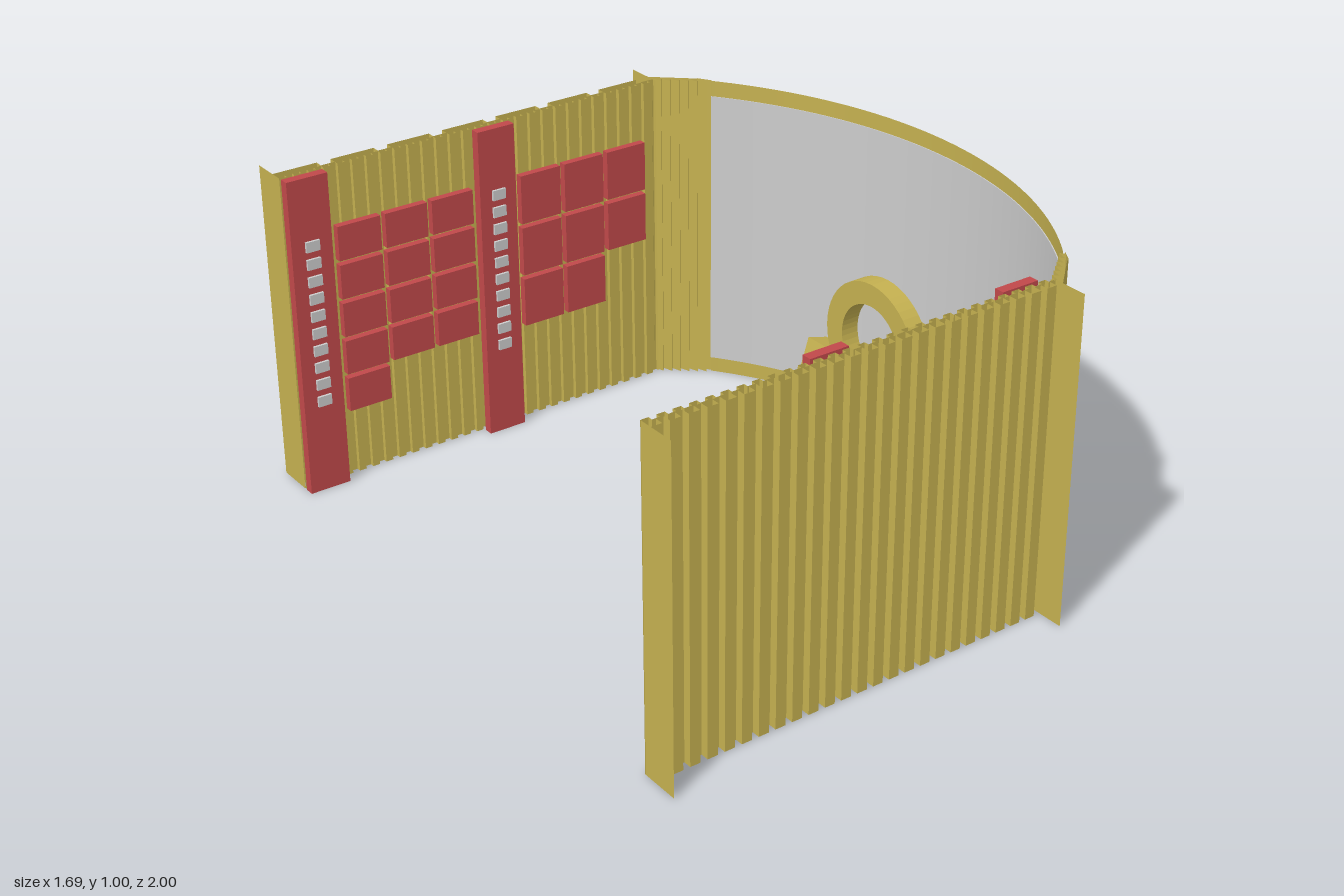
import * as THREE from 'three';

const mat = (color, extra = {}) => new THREE.MeshStandardMaterial({ color, ...extra });
const gold = mat(0xc4b050, { side: THREE.DoubleSide });
const red = mat(0xc0484a);
const grey = mat(0xcccccc);

function add(parent, name, geometry, material) {
  const mesh = new THREE.Mesh(geometry, material);
  mesh.name = name;
  parent.add(mesh);
  return mesh;
}

function addBox(parent, name, x0, x1, y0, y1, z0, z1, material) {
  const mesh = add(parent, name, new THREE.BoxGeometry(x1 - x0, y1 - y0, Math.abs(z1 - z0)), material);
  mesh.position.set((x0 + x1) / 2, (y0 + y1) / 2, (z0 + z1) / 2);
  return mesh;
}

// Upright thin sheet following a path of [x, z] points
function sheet(path, y0 = 0, y1 = 1) {
  const pos = [];
  for (let i = 0; i < path.length - 1; i++) {
    const [ax, az] = path[i], [bx, bz] = path[i + 1];
    pos.push(ax, y0, az, bx, y0, bz, bx, y1, bz, ax, y0, az, bx, y1, bz, ax, y1, az);
  }
  const g = new THREE.BufferGeometry();
  g.setAttribute('position', new THREE.Float32BufferAttribute(pos, 3));
  g.computeVertexNormals();
  return g;
}

// Square-wave path between x0 and x1: raised share of each pitch at zOut, rest at zIn
function corrugation(x0, x1, count, share, zOut, zIn) {
  const path = [], pitch = (x1 - x0) / count;
  for (let i = 0; i < count; i++) {
    const a = x0 + i * pitch, b = a + pitch * share;
    path.push([a, zOut], [b, zOut], [b, zIn], [a + pitch, zIn]);
  }
  return path;
}

const CX = -0.46, HALF = Math.asin(0.78 / 1.3);

// Closed curved slab with its centre line bulging to +x
function curvedSlab(rIn, rOut, height) {
  const s = new THREE.Shape();
  s.absarc(0, 0, rOut, -HALF, HALF, false);
  s.absarc(0, 0, rIn, HALF, -HALF, true);
  const g = new THREE.ExtrudeGeometry(s, { depth: height, bevelEnabled: false, curveSegments: 48 });
  return g.rotateX(-Math.PI / 2);
}

// Open curved band
function curvedBand(r, y0, y1) {
  const g = new THREE.CylinderGeometry(r, r, y1 - y0, 48, 1, true, Math.PI / 2 - HALF, 2 * HALF);
  return g.translate(CX, (y0 + y1) / 2, 0);
}

// Side wall with end fins, corner and lining; s is the sign of z
function sideWall(s) {
  const wall = new THREE.Group();
  wall.name = s > 0 ? 'frontWall' : 'backWall';
  const outer = s > 0
    ? corrugation(-0.85, 0.44, 24, 0.6, 0.92, 0.895)
    : corrugation(-0.85, 0.44, 7, 0.76, 0.92, 0.895);
  const mirror = path => path.map(([x, z]) => [x, z * s]);
  add(wall, 'outerCladding', sheet(mirror(outer)), gold);
  add(wall, 'innerLining', sheet(mirror(corrugation(-0.85, 0.44, 28, 0.5, 0.878, 0.892))), gold);
  for (const x of [-0.85, 0.44]) add(wall, 'endFin', sheet(mirror([[x, 0.88], [x, 1]])), gold);
  add(wall, 'cornerPanel', sheet(mirror([[0.44, 0.92], [0.54, 0.83], [0.555, 0.82], [0.58, 0.78]])), gold);
  // Ribbed lining across the corner
  const ribs = [];
  for (let i = 0; i <= 6; i++) {
    const t = i / 6, x = 0.43 + 0.13 * t, z = 0.885 - 0.105 * t;
    ribs.push([x, z], [x + 0.012, z + 0.015]);
  }
  add(wall, 'cornerLining', sheet(mirror(ribs)), gold);
  return wall;
}

// Full-height red pillar with a row of plain studs on its inner face
function pillar(parent, x0, x1, s) {
  const g = new THREE.Group();
  g.name = 'pillar';
  addBox(g, 'pillarBody', x0, x1, 0, 1, s * 0.87, s * 0.84, red);
  const c = (x0 + x1) / 2;
  for (let i = 0; i < 10; i++) {
    const y = 0.28 + i * 0.055;
    addBox(g, 'stud', c - 0.022, c + 0.022, y, y + 0.032, s * 0.84, s * 0.832, grey);
  }
  parent.add(g);
}

// Grid of display panels hanging down from y = 0.82; lastCount panels in the last row
function panelGrid(parent, x0, s, rows, pitch, lastCount, faced) {
  const g = new THREE.Group();
  g.name = 'panelGrid';
  for (let r = 0; r < rows; r++) {
    for (let c = 0; c < 3; c++) {
      const fromStart = s > 0 ? 2 - c : c;
      if (r === rows - 1 && fromStart >= lastCount) continue;
      const x = x0 + c * 0.156, top = 0.82 - r * pitch, bottom = top - pitch + 0.014;
      addBox(g, 'panel', x, x + 0.14, bottom, top, s * 0.875, s * 0.852, red);
      if (faced) addBox(g, 'panelFace', x + 0.003, x + 0.137, bottom + 0.003, top - 0.003, s * 0.853, s * 0.85, grey);
    }
  }
  parent.add(g);
}

export function createModel() {
  const model = new THREE.Group();
  model.name = 'exhibitionBooth';

  // Walls
  model.add(sideWall(1), sideWall(-1));

  // Curved screen and its frame
  const screen = add(model, 'curvedScreen', curvedSlab(1.292, 1.302, 0.9), grey);
  screen.position.set(CX, 0.05, 0);
  add(model, 'screenFrameBottom', curvedBand(1.295, 0, 0.05), gold);
  add(model, 'screenFrameTop', curvedBand(1.295, 0.95, 1), gold);

  // Back wall display
  pillar(model, -0.85, -0.72, -1);
  panelGrid(model, -0.695, -1, 5, 0.122, 1, false);
  pillar(model, -0.225, -0.1, -1);
  panelGrid(model, -0.075, -1, 3, 0.17, 2, false);

  // Front wall display
  panelGrid(model, -0.82, 1, 3, 0.17, 2, true);
  pillar(model, -0.345, -0.225, 1);
  panelGrid(model, -0.2, 1, 3, 0.17, 3, true);
  pillar(model, 0.28, 0.4, 1);

  // Console with sloping front and underside
  const profile = new THREE.Shape([[0.46, 0.06], [0.6, 0.17], [0.6, 0.34], [0.53, 0.36], [0.46, 0.14]]
    .map(([x, y]) => new THREE.Vector2(x, y)));
  const console_ = add(model, 'console',
    new THREE.ExtrudeGeometry(profile, { depth: 0.51, bevelEnabled: false }), gold);
  console_.position.z = -0.22;

  // Round ornament standing on the console
  const ring = new THREE.Shape();
  ring.absarc(0, 0, 0.2, 0, Math.PI * 2, false);
  const hole = new THREE.Path();
  hole.absarc(0, 0, 0.13, 0, Math.PI * 2, true);
  ring.holes.push(hole);
  const ornament = add(model, 'ringOrnament',
    new THREE.ExtrudeGeometry(ring, { depth: 0.06, bevelEnabled: false, curveSegments: 24 }), gold);
  ornament.rotation.y = Math.PI / 2;
  ornament.position.set(0.56, 0.42, 0.03);

  return model;
}
